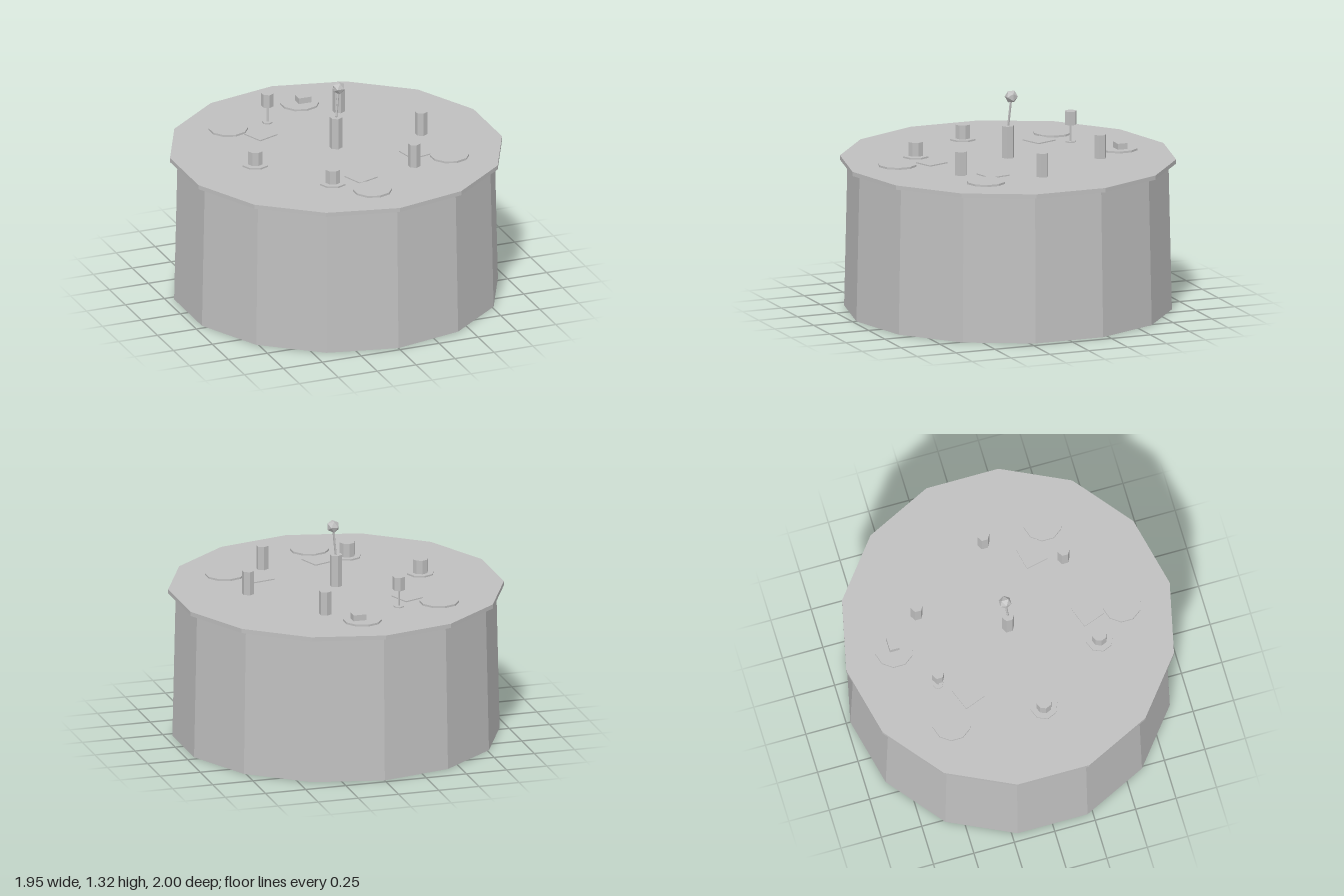
import * as THREE from 'three';

export function createModel() {
  const model = new THREE.Group();
  const grey = new THREE.MeshStandardMaterial({ color: 0xbfbfbf, flatShading: true });
  grey.name = 'plain grey';
  const TOP = 0.914; // height of the table surface

  function add(name, geometry, x, y, z, parent = model) {
    const mesh = new THREE.Mesh(geometry, grey);
    mesh.name = name;
    mesh.position.set(x, y, z);
    parent.add(mesh);
    return mesh;
  }
  // upright prism standing on height y
  function prism(name, rTop, rBottom, height, sides, x, y, z, parent) {
    return add(name, new THREE.CylinderGeometry(rTop, rBottom, height, sides), x, y + height / 2, z, parent);
  }
  function group(name, x, z) {
    const g = new THREE.Group();
    g.name = name;
    g.position.set(x, TOP, z);
    model.add(g);
    return g;
  }

  // table
  prism('tablecloth', 0.955, 0.975, 0.888, 14, 0, 0, 0);
  prism('tableTop', 1, 1, 0.026, 14, 0, 0.888, 0);

  // plates
  for (const [x, z] of [[-0.49, -0.49], [0.05, -0.69], [0.573, 0.38], [-0.05, 0.69]]) {
    prism('plate', 0.117, 0.117, 0.012, 10, x, TOP, z);
  }
  add('food', new THREE.BoxGeometry(0.08, 0.036, 0.06), 0.074, TOP + 0.03, -0.69);

  // napkins
  for (const [x, z, turn] of [[-0.342, -0.342, 0.36], [-0.037, 0.48, 0.34], [0.402, 0.263, 0.21]]) {
    add('napkin', new THREE.BoxGeometry(0.14, 0.007, 0.14), x, TOP + 0.0035, z).rotation.y = turn;
  }

  // cups on saucers
  for (const [x, z] of [[-0.545, 0.065], [-0.226, 0.5]]) {
    const set = group('cupAndSaucer', x, z);
    prism('saucer', 0.082, 0.082, 0.01, 8, 0, 0, 0, set);
    prism('cup', 0.047, 0.047, 0.084, 8, 0, 0.01, 0, set);
  }

  // tumblers
  for (const [x, z] of [[0.223, -0.5], [0.545, 0.005], [0.322, 0.437]]) {
    prism('tumbler', 0.037, 0.037, 0.144, 6, x, TOP, z);
  }

  // stemmed glass
  const glass = group('stemmedGlass', -0.235, -0.5);
  prism('glassFoot', 0.032, 0.032, 0.008, 6, 0, 0, 0, glass);
  prism('glassStem', 0.006, 0.006, 0.1, 6, 0, 0.008, 0, glass);
  prism('glassBowl', 0.037, 0.037, 0.082, 6, 0, 0.108, 0, glass);

  // vase with one leaning flower
  prism('vase', 0.038, 0.038, 0.194, 6, 0, TOP, 0);
  const flower = group('flower', 0, 0);
  const from = new THREE.Vector3(0, 0.18, 0);
  const to = new THREE.Vector3(0.022, 0.375, -0.012);
  const stem = add('flowerStem', new THREE.CylinderGeometry(0.007, 0.007, from.distanceTo(to), 5), 0, 0, 0, flower);
  stem.position.copy(from).lerp(to, 0.5);
  stem.quaternion.setFromUnitVectors(new THREE.Vector3(0, 1, 0), to.clone().sub(from).normalize());
  add('blossom', new THREE.IcosahedronGeometry(0.04, 0), to.x, to.y, to.z, flower).rotation.y = Math.PI / 2;

  return model;
}
